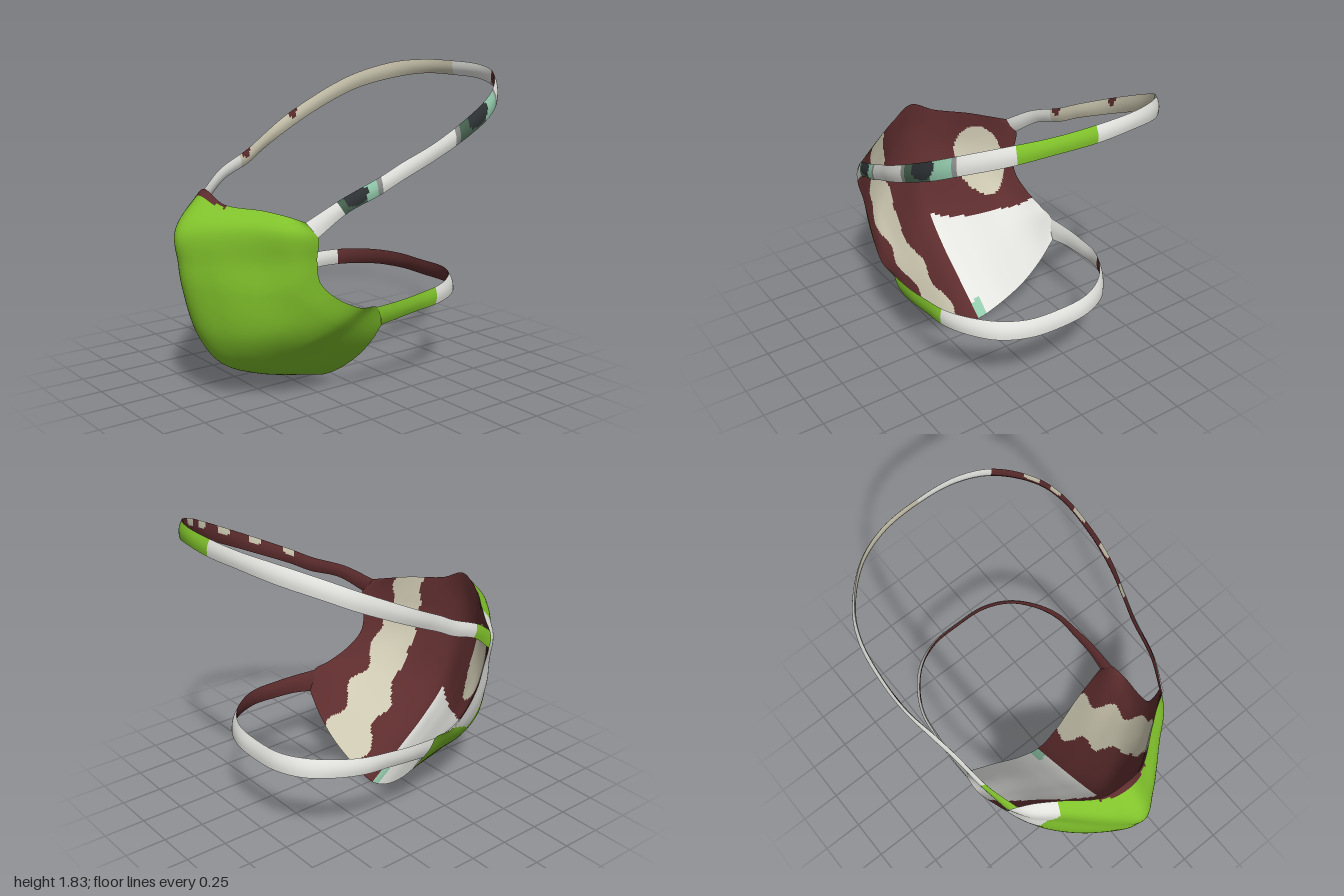
import * as THREE from 'three';

const V = (a) => new THREE.Vector3(a[0], a[1], a[2]);
const spline = (pts) => new THREE.CatmullRomCurve3(pts);
const flip = (a) => [-a[0], a[1], a[2]];

const mat = {};
for (const [name, color] of Object.entries({
  green: 0x82c42c, white: 0xe4e4e0, maroon: 0x5e2d2e, beige: 0xcec9b2, mint: 0x92c9ab,
  darkTeal: 0x486350, charcoal: 0x2e3335, grey: 0x8a8d8b,
})) {
  mat[name] = new THREE.MeshStandardMaterial({ color });
  mat[name].name = name;
}

// One face of a cloth sheet; paint(u, v, centre) names the colour of each cell
function sheet(name, point, nu, nv, inside, paint) {
  const pos = [], cells = {};
  const pts = [];
  for (let j = 0; j <= nv; j++) {
    for (let i = 0; i <= nu; i++) {
      const p = point(i / nu, j / nv);
      pts.push(p);
      pos.push(p.x, p.y, p.z);
    }
  }
  const mid = new THREE.Vector3();
  for (let j = 0; j < nv; j++) {
    for (let i = 0; i < nu; i++) {
      const a = j * (nu + 1) + i, b = a + 1, c = a + nu + 1, d = c + 1;
      mid.addVectors(pts[a], pts[d]).multiplyScalar(0.5);
      const list = (cells[paint((i + 0.5) / nu, (j + 0.5) / nv, mid)] ??= []);
      if (inside) list.push(a, b, c, b, d, c);
      else list.push(a, c, b, b, c, d);
    }
  }
  const geo = new THREE.BufferGeometry();
  geo.setAttribute('position', new THREE.Float32BufferAttribute(pos, 3));
  const index = [], mats = [];
  for (const [key, list] of Object.entries(cells)) {
    geo.addGroup(index.length, list.length, mats.length);
    mats.push(mat[key]);
    for (const k of list) index.push(k);
  }
  geo.setIndex(index);
  geo.computeVertexNormals();
  const mesh = new THREE.Mesh(geo, mats);
  mesh.name = name;
  return mesh;
}

// Padded strap face between a top and a bottom edge, from the left side round the back to the right
function band(half, bulge) {
  const edge = (k) => {
    const pts = half.map((h) => h[k]);
    return spline([...pts, ...pts.slice(0, -1).reverse().map(flip)].map(V));
  };
  const top = edge(0), bottom = edge(1);
  return (u, v) => {
    const a = top.getPoint(u), b = bottom.getPoint(u);
    const out = b.clone().sub(a).cross(top.getTangent(u)).normalize();
    return a.lerp(b, v).addScaledVector(out, bulge * Math.sin(Math.PI * v));
  };
}

// Mask layer from the columns of its left half, mirrored across the centre line
function layer(columns) {
  const all = [...columns.slice(1).reverse().map((c) => c.map(flip)), ...columns];
  const curves = all.map((c) => spline(c.map(V)));
  return (u, v) => spline(curves.map((c) => c.getPoint(v))).getPoint(u);
}

// Columns run from the centre line to the left edge, each from top to bottom
const sideEdge = [[0.53, 1.09, 0.53], [0.575, 1.01, 0.48], [0.55, 0.88, 0.47], [0.54, 0.75, 0.44],
  [0.56, 0.65, 0.34], [0.585, 0.58, 0.2], [0.575, 0.56, 0.08], [0.545, 0.44, 0.02]];
const shellColumns = [
  [[0, 1.22, 0.82], [0, 1.0, 1.0], [0, 0.82, 0.985], [0, 0.67, 0.96],
    [0, 0.39, 0.87], [0, 0.21, 0.74], [0, 0.11, 0.53], [0, 0, 0.08]],
  [[0.15, 1.155, 0.79], [0.15, 1.02, 0.9], [0.15, 0.83, 0.9], [0.17, 0.67, 0.87],
    [0.18, 0.4, 0.79], [0.16, 0.24, 0.67], [0.16, 0.15, 0.48], [0.15, 0.055, 0.065]],
  [[0.33, 1.135, 0.66], [0.35, 1.04, 0.72], [0.36, 0.85, 0.7], [0.37, 0.67, 0.69],
    [0.38, 0.46, 0.62], [0.36, 0.34, 0.5], [0.34, 0.28, 0.32], [0.33, 0.19, 0.03]],
  [[0.45, 1.11, 0.575], [0.49, 1.03, 0.6], [0.49, 0.87, 0.58], [0.48, 0.7, 0.57],
    [0.5, 0.57, 0.46], [0.51, 0.48, 0.33], [0.485, 0.42, 0.18], [0.455, 0.32, 0.02]],
  sideEdge,
];
const liningColumns = [
  [[0, 1.22, 0.82], [0, 1.05, 0.83], [0, 0.9, 0.81], [0, 0.72, 0.76],
    [0, 0.5, 0.66], [0, 0.33, 0.5], [0, 0.17, 0.3], [0, 0, 0.08]],
  [[0.15, 1.155, 0.79], [0.16, 1.03, 0.78], [0.17, 0.9, 0.76], [0.17, 0.73, 0.7],
    [0.17, 0.52, 0.6], [0.16, 0.36, 0.44], [0.16, 0.21, 0.25], [0.15, 0.055, 0.065]],
  [[0.33, 1.135, 0.66], [0.35, 1.03, 0.65], [0.36, 0.9, 0.64], [0.37, 0.74, 0.59],
    [0.37, 0.57, 0.47], [0.36, 0.44, 0.33], [0.35, 0.33, 0.18], [0.33, 0.19, 0.03]],
  [[0.45, 1.11, 0.575], [0.48, 1.03, 0.56], [0.48, 0.88, 0.55], [0.47, 0.73, 0.51],
    [0.49, 0.6, 0.4], [0.5, 0.53, 0.28], [0.48, 0.45, 0.15], [0.455, 0.32, 0.02]],
  sideEdge,
];

// Strap halves as [top edge, bottom edge] pairs from the left side to the middle of the back
const upperHalf = [
  [[0.53, 1.09, 0.53], [0.575, 1.01, 0.48]], [[0.6, 1.2, 0.36], [0.62, 1.13, 0.32]],
  [[0.64, 1.3, 0.13], [0.65, 1.21, 0.12]], [[0.67, 1.37, 0], [0.68, 1.28, -0.01]],
  [[0.715, 1.46, -0.18], [0.715, 1.37, -0.2]], [[0.72, 1.56, -0.38], [0.725, 1.46, -0.39]],
  [[0.69, 1.66, -0.58], [0.7, 1.56, -0.6]], [[0.62, 1.73, -0.72], [0.63, 1.63, -0.74]],
  [[0.45, 1.8, -0.88], [0.45, 1.7, -0.9]], [[0.25, 1.825, -0.96], [0.25, 1.735, -0.975]],
  [[0, 1.83, -0.98], [0, 1.74, -1]],
];
const lowerHalf = [
  [[0.575, 0.56, 0.08], [0.545, 0.44, 0.02]], [[0.575, 0.57, -0.1], [0.555, 0.46, -0.1]],
  [[0.56, 0.58, -0.25], [0.55, 0.475, -0.25]], [[0.535, 0.59, -0.4], [0.54, 0.485, -0.4]],
  [[0.47, 0.595, -0.53], [0.48, 0.49, -0.55]], [[0.35, 0.595, -0.66], [0.365, 0.49, -0.69]],
  [[0.2, 0.59, -0.735], [0.2, 0.485, -0.765]], [[0, 0.585, -0.75], [0, 0.48, -0.78]],
];

// Outside of the mask: green, white panel on the right cheek, maroon binding over the nose
function paintShell(u, v, { x, y }) {
  if (Math.abs(x) < 0.17 && y > 1.19 - 0.33 * Math.abs(x)) return 'maroon';
  const border = y > 0.75 ? -0.44 + (y - 0.75) * 0.24 : -0.46 + (y - 0.45) * 0.067;
  return x < border && y > 0.45 - (x + 0.46) * 1.08 ? 'white' : 'green';
}

const oval = (s, v, s0, v0, rs, rv) => ((s - s0) / rs) ** 2 + ((v - v0) / rv) ** 2 < 1;

// Lining: wavy beige stripe on the left, white lower panel and beige patch on the right
function paintLining(u, v, { x, y, z }) {
  if (x > -0.02) {
    const shift = 0.02 * Math.sin(z * 28) + 0.012 * Math.sin(y * 31) - 0.15 * Math.max(0, y - 0.6);
    return x > 0.1 + 0.3 * z + shift && x < 0.36 + 0.22 * z + shift ? 'beige' : 'maroon';
  }
  const seam = 0.66 + (x + 0.02) * 0.68;
  if (z < seam) return x > -0.08 && z < 0.17 ? 'mint' : 'white';
  return z > seam + 0.05 && oval(x, y, -0.37, 0.82, 0.13, 0.22) ? 'beige' : 'maroon';
}

// Colour from a list of [end, colour] along the strap
const along = (s, stops) => stops.find(([end]) => s <= end)[1];

function paintUpperOuter(u, v) {
  const s = u * 20;
  if (oval(s, v, 5.65, 0.3, 0.42, 0.6) || oval(s, v, 1.35, 0.3, 0.3, 0.6)) return 'charcoal';
  return along(s, [[0.9, 'white'], [1.6, 'darkTeal'], [1.95, 'mint'], [2.05, 'grey'], [4.78, 'white'],
    [4.88, 'grey'], [5.95, 'darkTeal'], [6.75, 'mint'], [6.9, 'grey'], [8.2, 'white'], [10, 'green'],
    [18.9, 'white'], [20, 'green']]);
}

function paintUpperInner(u, v) {
  const s = u * 20;
  for (const c of [3.1, 4.3, 5.4, 6.3, 7.1]) if (oval(s, v, c, 0.15, 0.22, 0.3)) return 'beige';
  for (const c of [15.6, 18.1]) if (oval(s, v, c, 0, 0.15, 0.5)) return 'maroon';
  return along(s, [[8.1, 'maroon'], [10, 'white'], [18.3, 'beige'], [20, 'white']]);
}

export function createModel() {
  const group = new THREE.Group();
  group.name = 'faceMask';

  // Mask body: a full outer shell and a flatter lining that share their rim
  group.add(sheet('maskShell', layer(shellColumns), 140, 90, false, paintShell));
  group.add(sheet('maskLining', layer(liningColumns), 140, 90, true, paintLining));

  // Upper head strap
  group.add(sheet('upperStrapOuter', band(upperHalf, 0.01), 240, 10, false, paintUpperOuter));
  group.add(sheet('upperStrapInner', band(upperHalf, -0.01), 240, 10, true, paintUpperInner));

  // Lower neck strap
  group.add(sheet('lowerStrapOuter', band(lowerHalf, 0.01), 140, 8, false,
    (u) => along(u * 14, [[2.9, 'green'], [14, 'white']])));
  group.add(sheet('lowerStrapInner', band(lowerHalf, -0.01), 140, 8, true,
    (u) => along(u * 14, [[10.5, 'maroon'], [14, 'white']])));

  return group;
}
